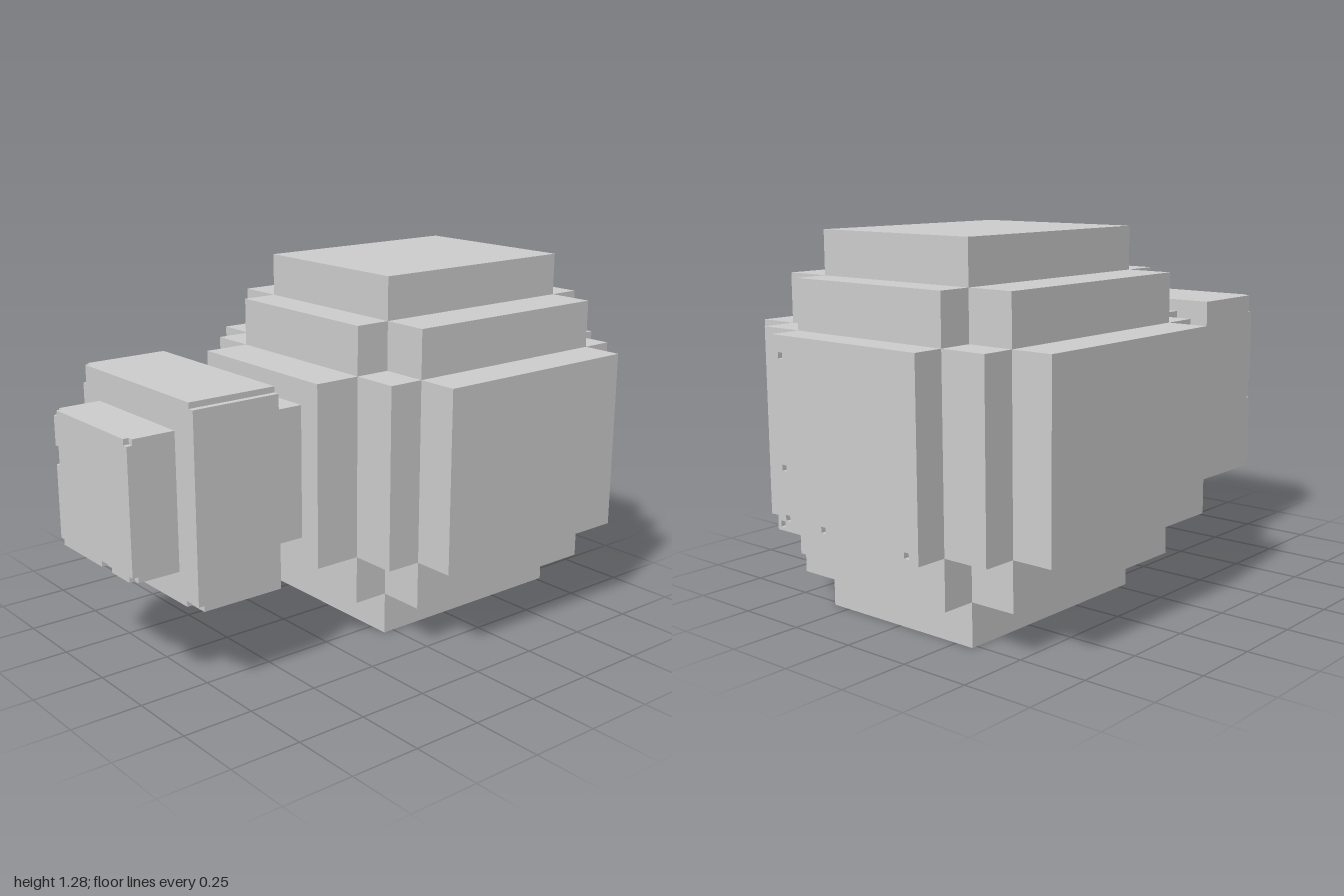
import * as THREE from 'three';

const material = new THREE.MeshStandardMaterial({ color: 0xcccccc, flatShading: true });
const CHIP = 0.02; // depth of every small nick and pit

export function createModel() {
  const model = new THREE.Group();

  const add = (name, geometry) => {
    const mesh = new THREE.Mesh(geometry, material);
    mesh.name = name;
    model.add(mesh);
  };

  // Box symmetric in x, given by its half width and its y and z ranges
  const block = (name, hx, [y0, y1], [z0, z1]) =>
    add(name, new THREE.BoxGeometry(2 * hx, y1 - y0, z1 - z0)
      .translate(0, (y0 + y1) / 2, (z0 + z1) / 2));

  // Flat plate from an xy outline, with optional square holes, between two depths
  const plate = (name, points, z0, z1, holes = []) => {
    const shape = new THREE.Shape(points.map(([x, y]) => new THREE.Vector2(x, y)));
    const r = CHIP / 2;
    for (const [x, y] of holes) {
      shape.holes.push(new THREE.Path([[-r, -r], [-r, r], [r, r], [r, -r]]
        .map(([a, b]) => new THREE.Vector2(x + a, y + b))));
    }
    add(name, new THREE.ExtrudeGeometry(shape, { depth: z1 - z0, bevelEnabled: false })
      .translate(0, 0, z0));
  };

  // Stepped round body: nested size levels, 0 = small, 1 = middle, 2 = large
  const X = [0.32, 0.49, 0.64];
  const Y = [[0.32, 0.96], [0.15, 1.13], [0, 1.28]];
  const Z = [[-0.77, 0.04], [-0.89, 0.17], [-1 + CHIP, 0.34]];
  const levels = [
    ['bodyVertical', 0, 2, 0], ['bodySideways', 2, 0, 0], ['bodyLengthwise', 0, 0, 2],
    ['bodyStepAcross', 1, 1, 0], ['bodyStepAlong', 0, 1, 1], ['bodyStepLevel', 1, 0, 1],
  ];
  for (const [name, x, y, z] of levels) block(name, X[x], Y[y], Z[z]);

  // Back face with its small pits
  plate('backPlate', [[-0.32, 0.32], [0.32, 0.32], [0.32, 0.96], [-0.32, 0.96]], -1, -1 + CHIP,
    [[0.28, 0.895], [0.28, 0.53], [0.27, 0.365], [0.295, 0.342], [0.1, 0.356], [-0.27, 0.345]]);

  // Neck and nozzle tip, running through the collar
  block('neck', 0.233, [0.407, 0.873], [0.3, 1 - CHIP]);
  const a = 0.233, b = 0.213, lo = 0.407, hi = 0.873;
  plate('tipPlate', [
    [-b, lo], [-b, lo + CHIP], [-a, lo + CHIP],
    [-a, 0.685], [-b, 0.685], [-b, 0.75], [-a, 0.75],
    [-a, hi - CHIP], [-b, hi - CHIP], [-b, hi],
    [b, hi], [b, hi - CHIP], [a, hi - CHIP],
    [a, lo + CHIP], [b, lo + CHIP], [b, lo],
    [0.105, lo], [0.105, lo + CHIP], [0.04, lo + CHIP], [0.04, lo],
  ], 1 - CHIP, 1);

  // Collar with one rebated long edge, and a nicked front rim
  const rebate = [[0.34, 0.96], [0.318, 0.96], [0.318, 0.98]];
  plate('collar', [[-0.34, 0.3], [0.34, 0.3], ...rebate, [-0.34, 0.98]], 0.51, 0.83 - CHIP);
  plate('collarRim', [
    [-0.32, 0.3], [-0.065, 0.3], [-0.065, 0.32], [0, 0.32], [0, 0.3],
    [0.272, 0.3], [0.272, 0.32], [0.34, 0.32], ...rebate,
    [-0.32, 0.98], [-0.32, 0.915], [-0.34, 0.915],
    [-0.34, 0.64], [-0.32, 0.64], [-0.32, 0.575], [-0.34, 0.575],
    [-0.34, 0.32], [-0.32, 0.32],
  ], 0.83 - CHIP, 0.83);

  return model;
}
